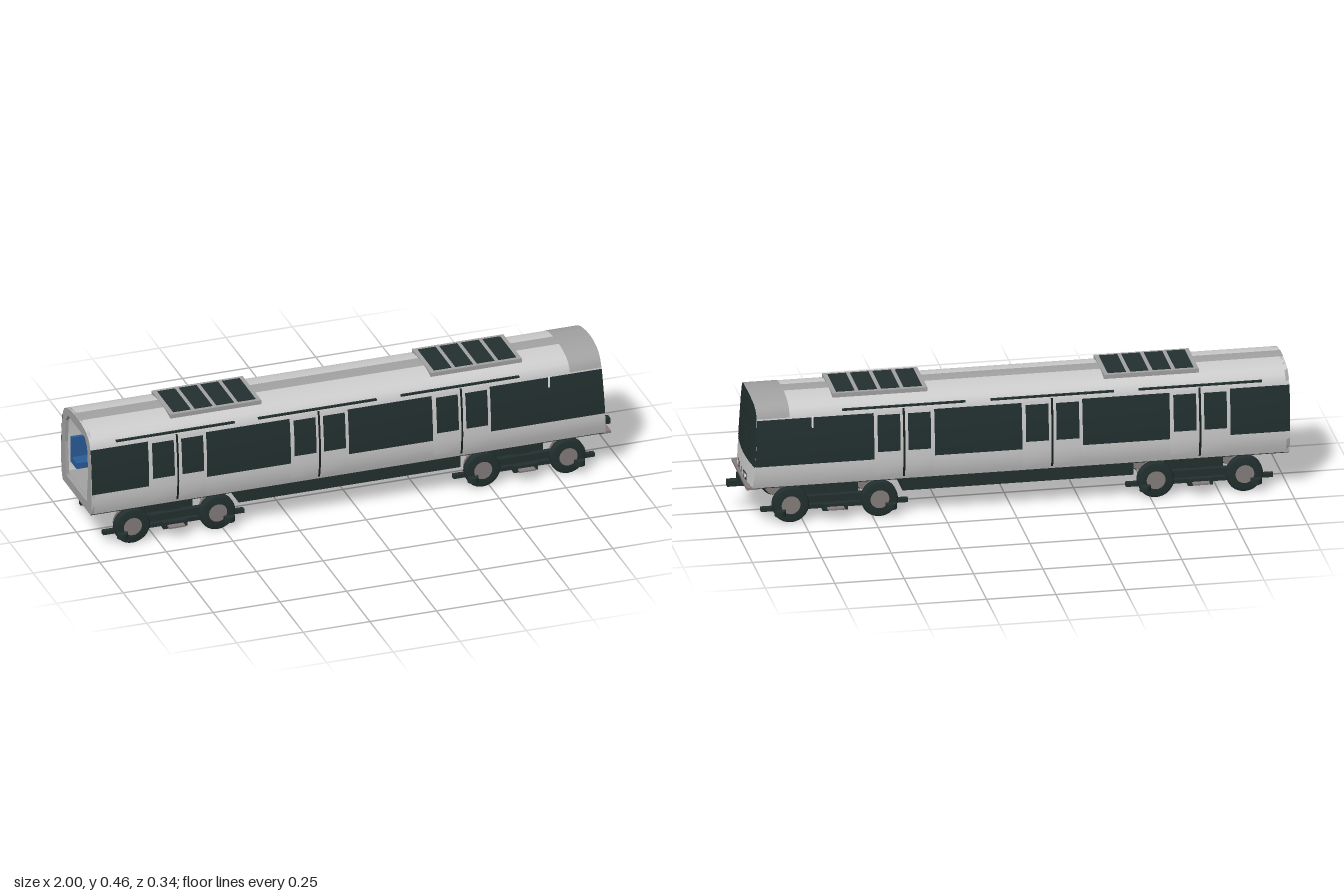
import * as THREE from 'three';

const mat = (name, color) => Object.assign(
  new THREE.MeshStandardMaterial({ color, side: THREE.DoubleSide }), { name });

// half cross-section of the car body: [height, half width]
const PROFILE = [[.14, .148], [.17, .158], [.2, .162], [.225, .163], [.28, .1625], [.34, .157], [.395, .149],
  [.415, .141], [.43, .13], [.443, .109], [.45, .085], [.455, .055], [.457, .03], [.458, 0]];

function halfWidth(y) {
  for (let i = 1; i < PROFILE.length; i++) {
    const [y0, w0] = PROFILE[i - 1], [y1, w1] = PROFILE[i];
    if (y <= y1) return w0 + (w1 - w0) * (y - y0) / (y1 - y0);
  }
  return 0;
}
const heights = (y0, y1) => [y0, ...PROFILE.map(p => p[0]).filter(y => y > y0 + 1e-4 && y < y1 - 1e-4), y1];

// sloping, slightly bowed cab end
const sideX = y => .913 + (.458 - y) * .06;
const frontX = (y, z) => sideX(y) + .013 * (1 - (z / .163) ** 2);

// surface from a grid of points
function grid(nu, nv, fn) {
  const pos = [], idx = [], n = nu + 1;
  for (let j = 0; j <= nv; j++) for (let i = 0; i <= nu; i++) pos.push(...fn(i, j));
  for (let j = 0; j < nv; j++) for (let i = 0; i < nu; i++) {
    const a = j * n + i;
    idx.push(a, a + 1, a + n + 1, a, a + n + 1, a + n);
  }
  const g = new THREE.BufferGeometry();
  g.setAttribute('position', new THREE.Float32BufferAttribute(pos, 3));
  g.setIndex(idx);
  g.computeVertexNormals();
  return g;
}

export function createModel() {
  const silver = mat('silver', 0xcccccc), grey = mat('roof grey', 0xa2a2a2), dark = mat('dark green grey', 0x22302f),
    black = mat('black seam', 0x18211f), steel = mat('warm steel', 0x857d7c), blue = mat('seat blue', 0x2a5c96),
    white = mat('lamp white', 0xf0f0ee);
  const model = new THREE.Group();
  model.name = 'metroCar';

  const add = (name, geometry, material, parent = model) => {
    const m = new THREE.Mesh(geometry, material);
    m.name = name;
    parent.add(m);
    return m;
  };
  // box given by its limits
  const box = (name, m, x0, x1, y0, y1, z0, z1, parent = model) => {
    const b = add(name, new THREE.BoxGeometry(x1 - x0, y1 - y0, z1 - z0), m, parent);
    b.position.set((x0 + x1) / 2, (y0 + y1) / 2, (z0 + z1) / 2);
    return b;
  };
  // body panel following the cross-section, on both sides; x1 = null ends at the cab face
  const skin = (name, m, x0, x1, y0, y1, off = 0) => {
    const ys = heights(y0, y1);
    for (const s of [1, -1]) add(name, grid(1, ys.length - 1, (i, j) => {
      const y = ys[j], w = halfWidth(y);
      const end = x1 === null ? frontX(y, w) : x1;
      return [(i === 0) === (s === 1) ? x0 : end, y + off * (y - .14) / .32, s * w * (1 + off / .16)];
    }), m);
  };
  // panel following the cab face
  const face = (name, m, y0, y1, z0 = -1, z1 = 1, off = 0) => {
    const ys = heights(y0, y1);
    add(name, grid(10, ys.length - 1, (i, j) => {
      const y = ys[j], w = halfWidth(y);
      const a = Math.min(w, z1), b = Math.max(-w, z0), z = a + (b - a) * i / 10;
      return [frontX(y, z) + off, y, z];
    }), m);
  };

  // body shell and roof
  skin('bodyShell', silver, -1, null, .14, .458);
  skin('roofStrip', grey, -1, .8, .457, .458, .001);
  skin('cabRoof', grey, .8, null, .4, .458, .001);
  box('floor', dark, -.998, .925, .137, .15, -.147, .147);

  // window bands between the doors
  for (const [a, b] of [[-1, -.785], [-.567, -.253], [-.035, .28], [.498, null]])
    skin('windowBand', dark, a, b, .225, .395, .002);

  // double doors with windows
  for (const c of [-.676, -.144, .39]) {
    skin('doorGap', black, c - .004, c + .004, .15, .405, .002);
    for (const s of [-1, 1]) {
      const a = c + s * .055;
      skin('doorLeaf', silver, a - .051, a + .051, .148, .408, .004);
      skin('doorWindow', dark, a - .041, a + .041, .252, .385, .006);
    }
  }

  // gutters and cab grab handles
  for (const s of [-1, 1]) {
    for (const x of [-.68, -.147, .388]) {
      const g = box('gutter', dark, x - .222, x + .222, .412, .419, -.004, .004);
      g.position.z = s * .145;
    }
    box('cabHandle', white, .716, .722, .36, .4, -.003, .003).position.z = s * .156;
  }

  // cab end
  face('cabFaceUpper', dark, .222, .458);
  face('cabFaceLower', silver, .14, .222);
  for (const s of [-1, 1]) {
    face('escapeDoorSeam', black, .255, .375, s * .085 - .001, s * .085 + .001, .002);
    face('headlampPanel', dark, .146, .172, s * .058 - .025, s * .058 + .025, .003);
    for (const [z, m] of [[.067, white], [.048, steel]]) {
      const lamp = add('headlamp', new THREE.CylinderGeometry(.008, .008, .006, 16), m);
      lamp.rotation.z = Math.PI / 2;
      lamp.position.set(frontX(.159, z) + .003, .159, s * z);
    }
  }
  face('escapeDoorTop', black, .373, .375, -.085, .085, .002);
  face('noseSocket', dark, .15, .168, -.007, .007, .003);
  box('frontSill', steel, .91, .955, .134, .143, -.147, .147);
  box('couplerMount', dark, .88, .96, .108, .137, -.03, .03);
  box('coupler', dark, .93, 1, .099, .12, -.014, .014);

  // open gangway end
  const end = new THREE.Shape();
  const right = PROFILE.map(([y, w]) => new THREE.Vector2(w, y));
  const left = PROFILE.slice(0, -1).reverse().map(([y, w]) => new THREE.Vector2(-w, y));
  end.setFromPoints([...right, ...left]);
  const hole = new THREE.Path();
  hole.setFromPoints([[-.11, .175], [-.125, .3], [-.115, .39], [-.09, .42], [.09, .42], [.115, .39], [.125, .3], [.11, .175]]
    .map(p => new THREE.Vector2(...p)));
  end.holes.push(hole);
  const gangway = add('gangwayFrame', new THREE.ExtrudeGeometry(end, { depth: .012, bevelEnabled: false }), grey);
  gangway.rotation.y = Math.PI / 2;
  gangway.position.x = -1;

  // interior floor and benches
  box('cabinFloor', grey, -.985, .88, .15, .172, -.145, .145);
  for (const [a, b] of [[-.97, -.8], [-.55, -.27], [-.02, .27], [.51, .75]]) for (const s of [-1, 1]) {
    box('seat', blue, a, b, .205, .228, -.032, .032).position.z = s * .115;
    box('seatBack', blue, a, b, .225, .305, -.007, .007).position.z = s * .141;
  }

  // rooftop air units
  for (const x of [-.512, .466]) {
    box('airUnit', grey, x - .171, x + .171, .445, .461, -.1, .1);
    for (let i = 0; i < 4; i++) {
      const c = x + (i - 1.5) * .081;
      box('airGrille', dark, c - .033, c + .033, .455, .463, -.085, .085);
    }
  }

  // underfloor equipment
  box('underframe', dark, -.44, .392, .09, .14, -.14, .14);
  box('equipmentBox', dark, -.02, .3, .075, .095, -.09, .09);

  // bogies with rubber tyres, steel wheels and guide wheels
  for (const cx of [-.68, .635]) {
    const bogie = new THREE.Group();
    bogie.name = 'bogie';
    bogie.position.x = cx;
    model.add(bogie);
    const disc = (name, m, r, h, x, y, z, upright = true) => {
      const d = add(name, new THREE.CylinderGeometry(r, r, h, 28), m, bogie);
      if (upright) d.rotation.x = Math.PI / 2;
      d.position.set(x, y, z);
    };
    box('motor', dark, -.1, .1, .035, .1, -.045, .045, bogie);
    box('bolster', dark, -.028, .028, .09, .14, -.115, .115, bogie);
    box('springSeat', dark, -.06, .06, .108, .122, -.11, .11, bogie);
    for (const s of [-1, 1]) {
      box('sideFrame', dark, -.2, .2, .058, .084, -.011, .011, bogie).position.z = s * .108;
      box('guideBar', dark, -.265, .265, .041, .056, -.009, .009, bogie).position.z = s * .122;
      box('shoeArm', dark, -.045, .045, .035, .06, -.012, .012, bogie).position.z = s * .135;
      box('currentShoe', steel, -.03, .03, .044, .05, -.012, .012, bogie).position.z = s * .157;
      for (const x of [-.2, .2]) disc('guideWheel', dark, .02, .02, x, .041, s * .152, false);
    }
    for (const x of [-.16, .16]) {
      disc('axle', steel, .011, .22, x, .069, 0);
      for (const s of [-1, 1]) {
        const tyre = add('tyre', new THREE.LatheGeometry([[.034, -.016], [.06, -.016], [.066, -.011], [.066, .011],
          [.06, .016], [.034, .016]].map(p => new THREE.Vector2(...p)), 32), dark, bogie);
        tyre.rotation.x = Math.PI / 2;
        tyre.position.set(x, .066, s * .132);
        disc('wheelHub', steel, .037, .031, x, .066, s * .132);
        disc('steelWheel', steel, .05, .014, x, .066, s * .1);
        disc('wheelFlange', steel, .056, .004, x, .066, s * .093);
      }
    }
  }
  return model;
}
